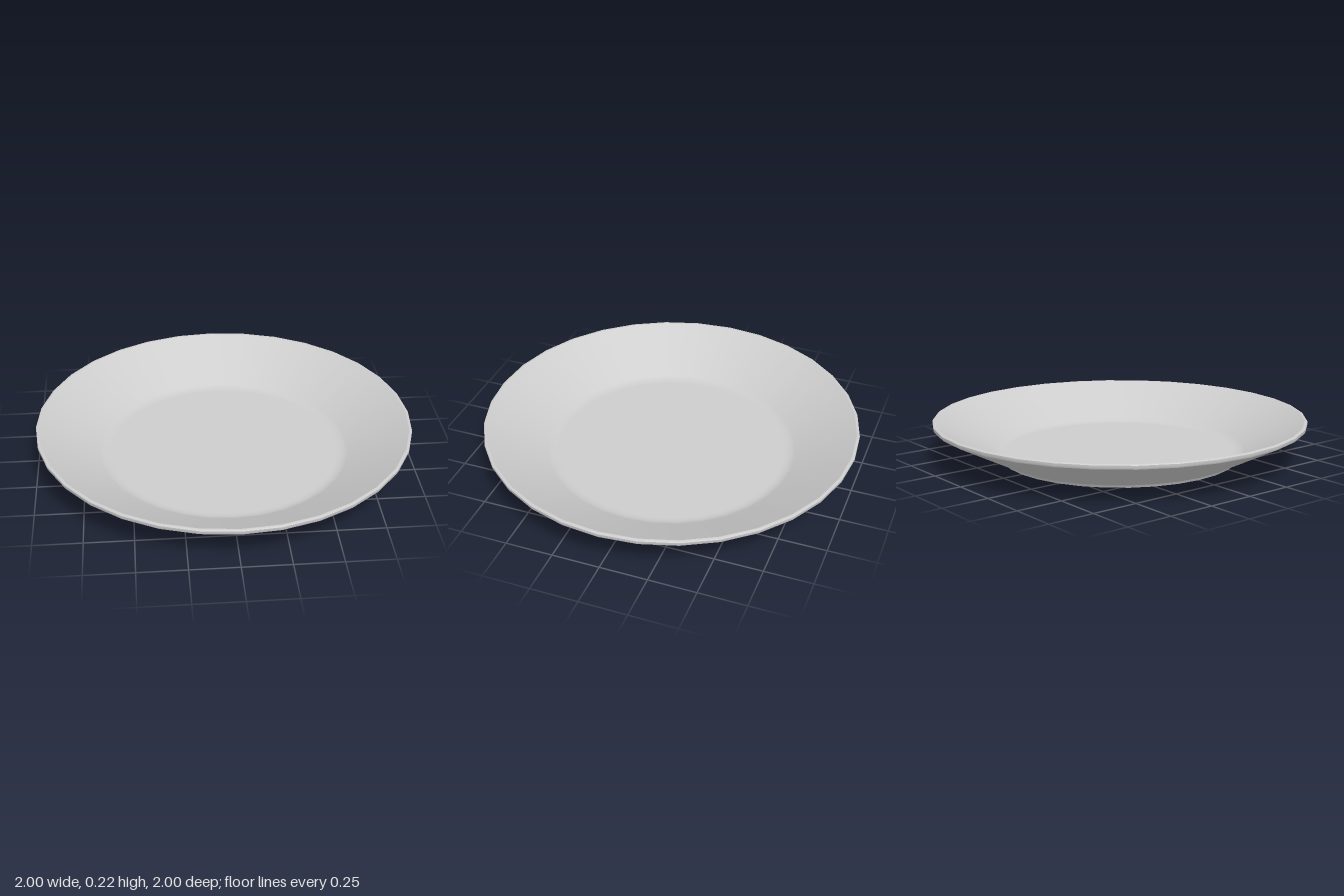
import * as THREE from 'three';

const SEGMENTS = 32;

export function createModel() {
  const plate = new THREE.Group();
  plate.name = 'plate';

  const ceramic = new THREE.MeshStandardMaterial({ color: 0xcccccc });
  ceramic.name = 'pale grey ceramic';

  // Each strip is its own lathe, so edges between strips stay sharp
  const turn = (name, profile) => {
    const points = profile.map(([r, y]) => new THREE.Vector2(r, y));
    const mesh = new THREE.Mesh(new THREE.LatheGeometry(points, SEGMENTS), ceramic);
    mesh.name = name;
    plate.add(mesh);
  };

  // Underside: recessed base inside a low foot ring
  turn('baseUnderside', [[0, 0.014], [0.605, 0.014]]);
  turn('footInnerWall', [[0.605, 0.014], [0.612, 0]]);
  turn('footBottom', [[0.612, 0], [0.64, 0]]);
  turn('footOuterWall', [[0.64, 0], [0.648, 0.014]]);

  // Flared outside and narrow rim
  turn('outerSlope', [[0.648, 0.014], [0.996, 0.19]]);
  turn('rimEdge', [[0.996, 0.19], [1, 0.198], [1, 0.21]]);
  turn('rimTop', [[1, 0.21], [0.996, 0.215], [0.985, 0.215]]);

  // Inside: sloping wall blending softly into the flat floor
  turn('inside', [
    [0.985, 0.215], [0.97, 0.207], [0.67, 0.046], [0.655, 0.038],
    [0.63, 0.032], [0.61, 0.032], [0, 0.032],
  ]);

  return plate;
}
